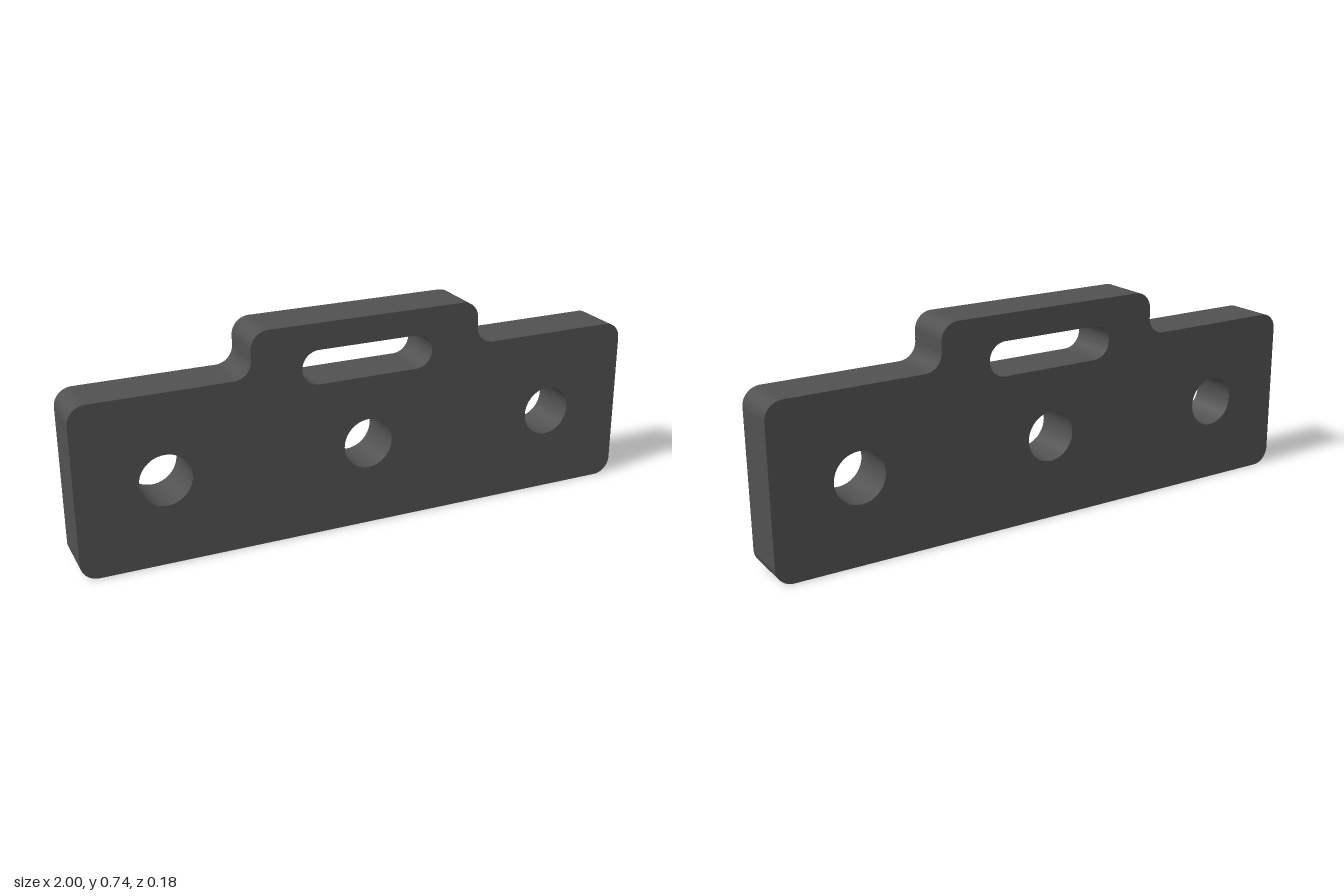
import * as THREE from 'three';
import { toCreasedNormals } from 'three/addons/utils/BufferGeometryUtils.js';

const HALF_W = 1, SHOULDER_Y = 0.59, TAB_HALF_W = 0.41, TOP_Y = 0.744;
const R = 0.06, DEPTH = 0.176, HOLE_R = 0.088, HOLE_X = 0.706, HOLE_Y = 0.295;
const SLOT_X = 0.177, SLOT_Y = 0.594, SLOT_R = 0.059;
const Q = Math.PI / 2;

// Counter-clockwise outline: rounded plate with a filleted tab on top
function plateOutline() {
  const s = new THREE.Shape();
  // corner arc from quarter a to quarter b
  const arc = (x, y, a, b) => s.absarc(x, y, R, a * Q, b * Q, b < a);
  arc(HALF_W - R, R, -1, 0);
  arc(HALF_W - R, SHOULDER_Y - R, 0, 1);
  arc(TAB_HALF_W + R, SHOULDER_Y + R, 3, 2); // inner fillet
  arc(TAB_HALF_W - R, TOP_Y - R, 0, 1);
  arc(-TAB_HALF_W + R, TOP_Y - R, 1, 2);
  arc(-TAB_HALF_W - R, SHOULDER_Y + R, 0, -1); // inner fillet
  arc(-HALF_W + R, SHOULDER_Y - R, 1, 2);
  arc(-HALF_W + R, R, 2, 3);
  s.closePath();
  return s;
}

export function createModel() {
  const group = new THREE.Group();
  group.name = 'mountingPlate';
  const shape = plateOutline();

  // Three round bolt holes
  for (const x of [-HOLE_X, 0, HOLE_X]) {
    shape.holes.push(new THREE.Path().absarc(x, HOLE_Y, HOLE_R, 0, Math.PI * 2, true));
  }

  // Round-ended slot in the tab
  const slot = new THREE.Path();
  slot.absarc(SLOT_X, SLOT_Y, SLOT_R, Q, -Q, true);
  slot.absarc(-SLOT_X, SLOT_Y, SLOT_R, -Q, -3 * Q, true);
  slot.closePath();
  shape.holes.push(slot);

  const geometry = new THREE.ExtrudeGeometry(shape, {
    depth: DEPTH, bevelEnabled: false, curveSegments: 24,
  });
  geometry.translate(0, 0, -DEPTH / 2);

  // Dark charcoal plate
  const plate = new THREE.Mesh(
    toCreasedNormals(geometry, Math.PI / 6),
    new THREE.MeshStandardMaterial({ color: 0x515151 }),
  );
  plate.name = 'plate';
  group.add(plate);
  return group;
}
